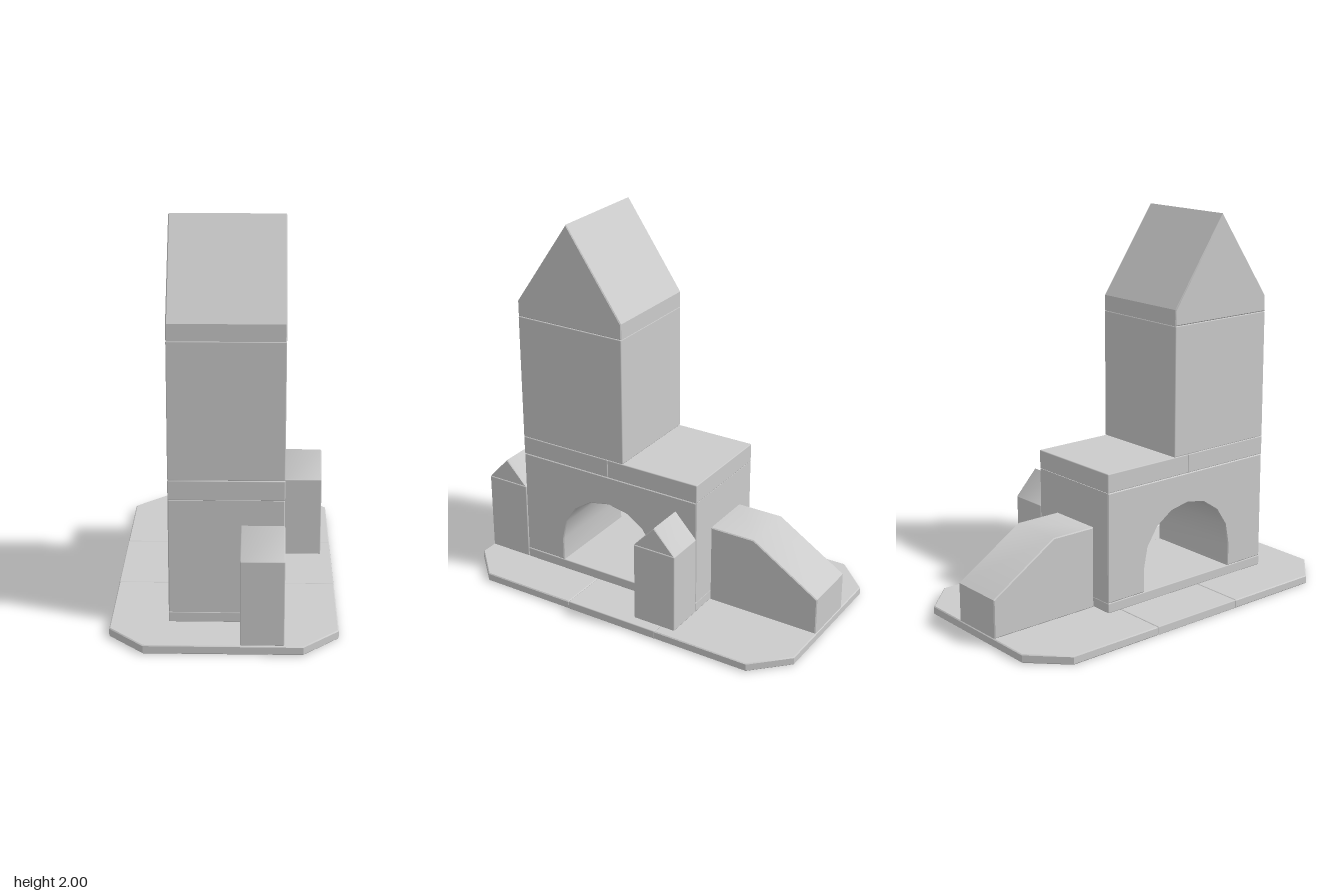
import * as THREE from 'three';
import { toCreasedNormals } from 'three/addons/utils/BufferGeometryUtils.js';
import { RoundedBoxGeometry } from 'three/addons/geometries/RoundedBoxGeometry.js';

const BEVEL = 0.005;
const CREASE = THREE.MathUtils.degToRad(33);

export function createModel() {
  const model = new THREE.Group();
  model.name = 'blockTower';
  const material = new THREE.MeshStandardMaterial({ color: 0xcccccc });

  function add(name, geometry) {
    const mesh = new THREE.Mesh(geometry, material);
    mesh.name = name;
    model.add(mesh);
    return mesh;
  }

  // Softly edged block given by its extents
  function block(name, [x0, x1], [y0, y1], [z0, z1]) {
    const geometry = new RoundedBoxGeometry(x1 - x0, y1 - y0, z1 - z0, 1, BEVEL);
    add(name, geometry).position.set((x0 + x1) / 2, (y0 + y1) / 2, (z0 + z1) / 2);
  }

  // Outline extruded between two depths with a fine inward bevel
  function extrude(points, from, to) {
    const shape = new THREE.Shape(points.map(([u, v]) => new THREE.Vector2(u, v)));
    return new THREE.ExtrudeGeometry(shape, {
      depth: to - from - 2 * BEVEL,
      bevelThickness: BEVEL,
      bevelSize: BEVEL,
      bevelOffset: -BEVEL,
      bevelSegments: 1,
    }).translate(0, 0, from + BEVEL);
  }

  // Side profile of [z, y] points, running across the model along x
  function profileBlock(name, points, [x0, x1]) {
    const geometry = extrude(points.map(([z, y]) => [-z, y]), x0, x1).rotateY(Math.PI / 2);
    add(name, toCreasedNormals(geometry, CREASE));
  }

  const baseTop = 0.045;
  const towerX = [-0.27, 0.29];

  // Base: a middle plate and two end plates with cut corners
  block('baseMiddle', [-0.555, 0.555], [0, baseTop], [-0.265, 0.265]);
  for (const [name, s] of [['baseFront', 1], ['baseBack', -1]]) {
    const outline = [[-0.555, 0.265], [0.555, 0.265], [0.555, 0.795],
      [0.38, 0.97], [-0.38, 0.97], [-0.555, 0.795]];
    const plate = extrude(outline.map(([x, z]) => [x, -s * z]), 0, baseTop).rotateX(-Math.PI / 2);
    add(name, toCreasedNormals(plate, CREASE));
  }

  // Archway on its sill
  block('archSill', towerX, [baseTop, 0.098], [-0.35, 0.72]);
  const archProfile = [[-0.11, 0.098], [-0.35, 0.098], [-0.35, 0.68], [0.72, 0.68], [0.72, 0.098], [0.48, 0.098]];
  for (let i = 0; i <= 8; i++) {
    const a = (i / 8) * Math.PI;
    archProfile.push([0.185 + 0.295 * Math.cos(a), 0.225 + 0.295 * Math.sin(a)]);
  }
  profileBlock('archway', archProfile, towerX);

  // Two slabs over the arch
  block('frontSlab', towerX, [0.68, 0.78], [0.185, 0.72]);
  block('backSlab', towerX, [0.68, 0.78], [-0.35, 0.185]);

  // Tower and its gabled roof
  block('tower', towerX, [0.78, 1.462], [0.09, 0.72]);
  profileBlock('towerRoof', [[0.09, 1.462], [0.09, 1.545], [0.405, 2], [0.72, 1.545], [0.72, 1.462]], towerX);

  // Small posts with gabled caps
  function post(name, x, [z0, z1]) {
    block(name, x, [baseTop, 0.475], [z0, z1]);
    profileBlock(name + 'Roof', [[z0, 0.475], [(z0 + z1) / 2, 0.605], [z1, 0.475]], x);
  }
  post('frontPost', [0.08, 0.29], [0.722, 0.965]);
  post('sidePost', [0.29, 0.5], [-0.35, -0.11]);

  // Sloping block behind the archway
  profileBlock('backRamp', [[-0.352, baseTop], [-0.352, 0.475], [-0.6, 0.475], [-0.967, 0.245], [-0.967, baseTop]], [-0.155, 0.145]);

  return model;
}
